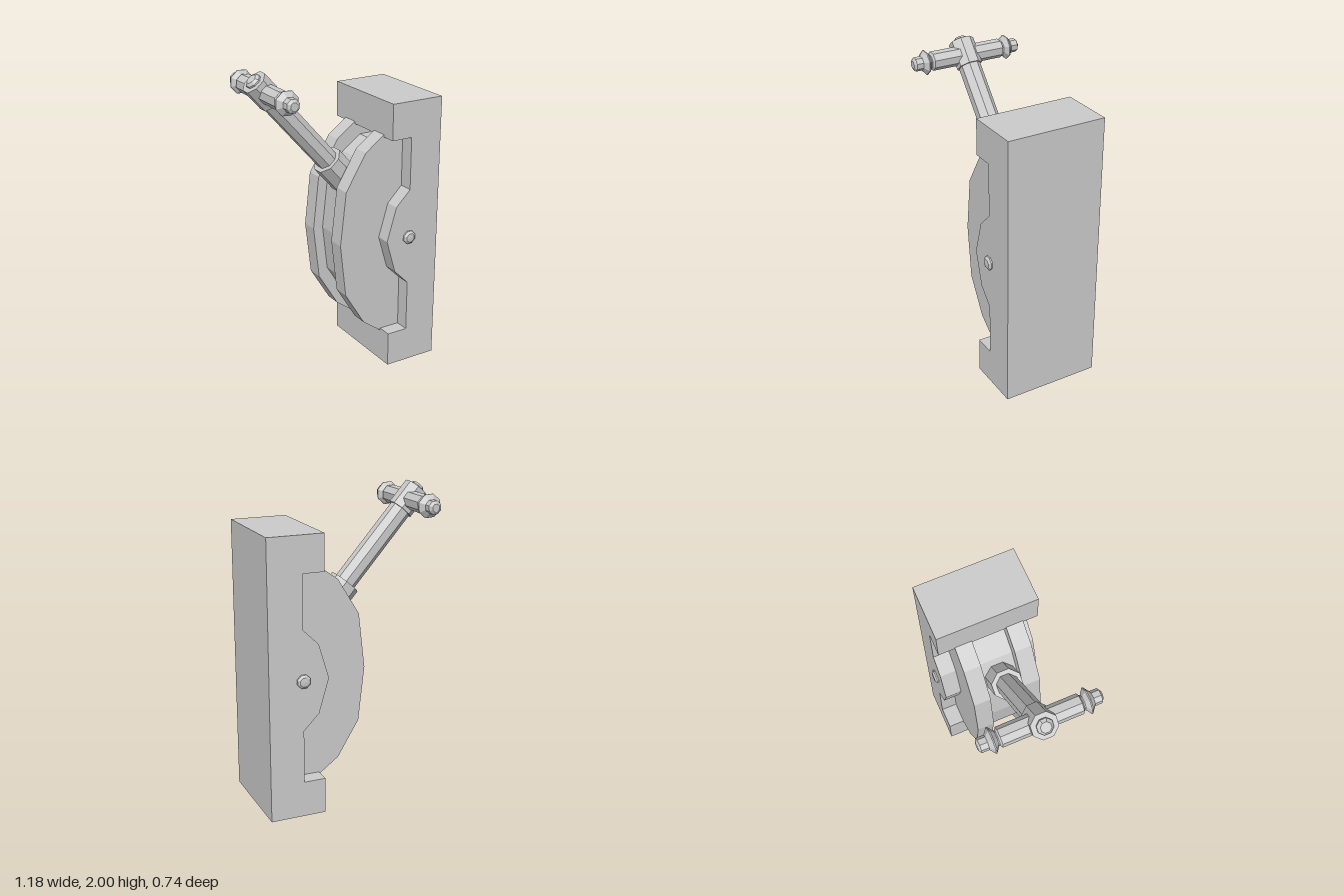
import * as THREE from 'three';

const MID_Z = -0.005;
const PIVOT = { x: 0.37, y: 0.89 };

export function createModel() {
  const model = new THREE.Group();
  model.name = 'wallLever';
  const material = new THREE.MeshStandardMaterial({ color: 0xcccccc, flatShading: true });

  const add = (parent, name, geometry) => {
    const mesh = new THREE.Mesh(geometry, material);
    mesh.name = name;
    parent.add(mesh);
    return mesh;
  };

  // Extrude an xy outline between two z values
  const slab = (name, points, z0, z1) => {
    const shape = new THREE.Shape(points.map(([x, y]) => new THREE.Vector2(x, y)));
    const geometry = new THREE.ExtrudeGeometry(shape, { depth: z1 - z0, bevelEnabled: false });
    geometry.translate(0, 0, z0);
    return add(model, name, geometry);
  };

  // Eight-sided turned part from [radius, height] pairs, flats facing the axes
  const turned = (parent, name, profile) => {
    const points = profile.map(([r, y]) => new THREE.Vector2(r, y));
    const geometry = new THREE.LatheGeometry(points, 8);
    geometry.rotateY(Math.PI / 8);
    return add(parent, name, geometry);
  };

  // Complete a lower half outline with its reflection about the pivot height
  const mirrored = (half) => [
    ...half,
    ...half.filter(([, y]) => y !== PIVOT.y).reverse().map(([x, y]) => [x, 2 * PIVOT.y - y]),
  ];

  // Wall block with a recessed front edge and a pivot lobe
  slab('bracket', mirrored([
    [0.59, 0], [0.23, 0], [0.23, 0.23], [0.37, 0.23],
    [0.37, 0.57], [0.27, 0.67], [0.205, 0.89],
  ]), -0.33, 0.31);

  // Rounded drum: two outer rails with a lower core between them
  const rail = mirrored([
    [0.42, 0.2], [0.25, 0.2], [0.1, 0.31], [-0.04, 0.54], [-0.08, 0.89],
  ]);
  const core = rail.map(([x, y]) => [
    PIVOT.x + (x - PIVOT.x) * 0.85, PIVOT.y + (y - PIVOT.y) * 0.85,
  ]);
  slab('backRail', rail, -0.225, -0.115);
  slab('frontRail', rail, 0.105, 0.215);
  slab('drumCore', core, -0.118, 0.108);

  // Pivot bolt heads on both sides
  for (const side of [1, -1]) {
    const bolt = turned(model, side > 0 ? 'frontBolt' : 'backBolt',
      [[0.045, -0.02], [0.045, 0.01], [0.03, 0.022], [0, 0.025]]);
    bolt.rotation.x = side * Math.PI / 2;
    bolt.position.set(PIVOT.x, PIVOT.y, side > 0 ? 0.31 : -0.33);
  }

  // Tilted lever, its y axis running along the shaft
  const lever = new THREE.Group();
  lever.name = 'lever';
  lever.position.set(-0.045, 1.39, MID_Z);
  lever.rotation.z = 0.719;
  model.add(lever);

  turned(lever, 'collar', [[0, -0.25], [0.1, -0.25], [0.1, 0], [0, 0]]);
  turned(lever, 'shaft', [[0.07, -0.02], [0.07, 0.6]]);
  turned(lever, 'head', [[0, 0.575], [0.082, 0.575], [0.082, 0.744], [0, 0.744]]);
  turned(lever, 'headStud', [[0.05, 0.735], [0.05, 0.755], [0.033, 0.77], [0, 0.77]]);

  // Cross handle with a flared ring and a small tip at each end
  const handle = new THREE.Group();
  handle.name = 'crossHandle';
  handle.position.y = 0.654;
  lever.add(handle);
  for (const side of [1, -1]) {
    const grip = turned(handle, side > 0 ? 'frontGrip' : 'backGrip', [
      [0.06, 0], [0.06, 0.24], [0.045, 0.25], [0.045, 0.257],
      [0.077, 0.28], [0.077, 0.287], [0.044, 0.312],
      [0.044, 0.357], [0.025, 0.37], [0, 0.37],
    ]);
    grip.rotation.x = side * Math.PI / 2;
  }

  return model;
}
